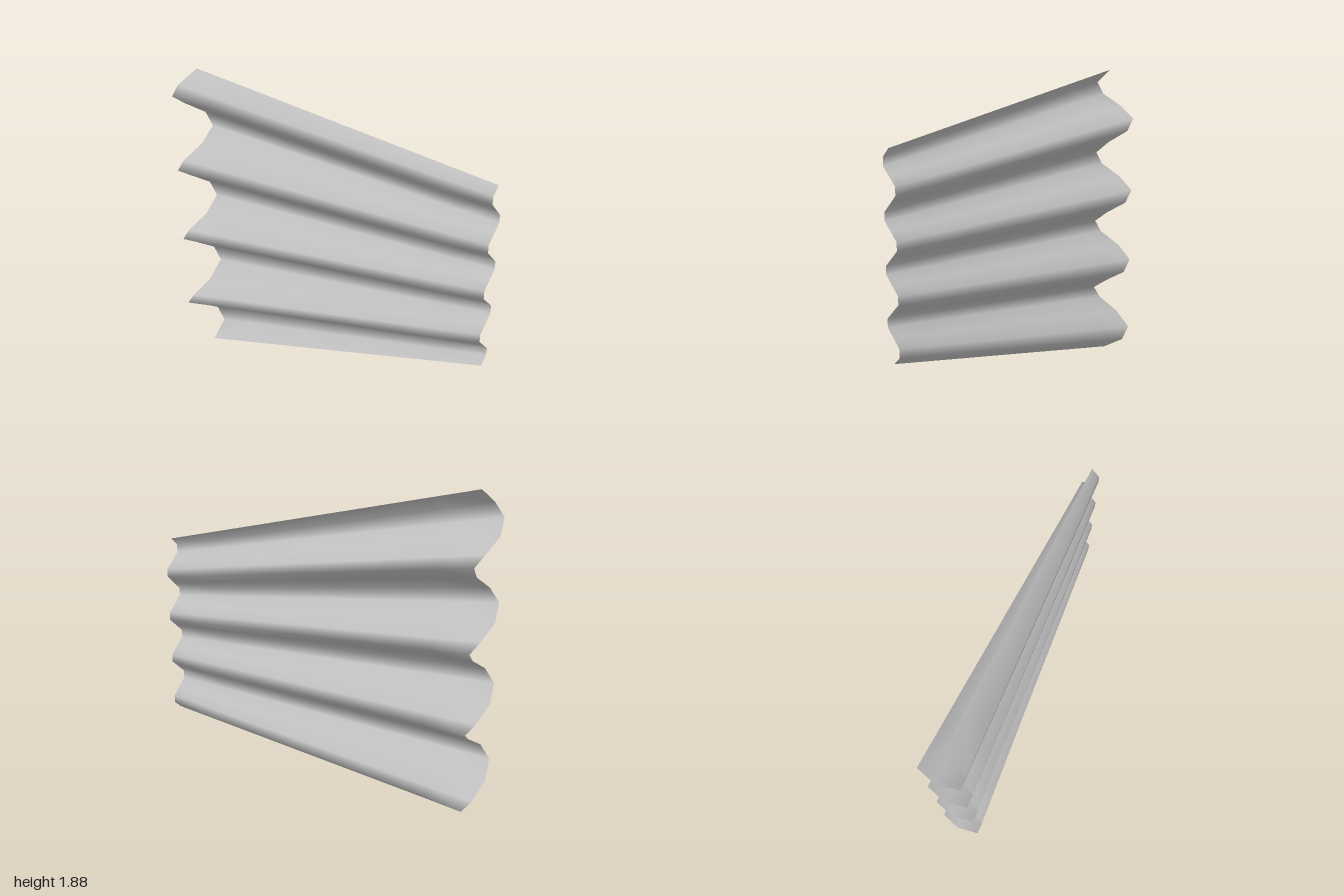
import * as THREE from 'three';

const FOLDS = 4, STEPS = 6, ROWS = 8;

// Narrow front edge: a small wave in x at z = 1
function frontEdge(u, phase) {
  return new THREE.Vector3(0.176 + 0.06 * Math.sin(phase), 0.39 + 1.108 * u, 1);
}

// Wide back edge: a bigger wave in x with a scalloped rim in z
function backEdge(u, phase) {
  return new THREE.Vector3(
    -0.095 + 0.156 * Math.sin(phase),
    1.885 * u,
    -0.942 + 0.058 * Math.cos(phase)
  );
}

// Straight-ruled sheet between the two wavy edges
function pleatedGeometry() {
  const n = FOLDS * STEPS, positions = [], indices = [];
  for (let i = 0; i <= n; i++) {
    const phase = (i / STEPS) * Math.PI * 2;
    const a = frontEdge(i / n, phase), b = backEdge(i / n, phase);
    for (let j = 0; j <= ROWS; j++) {
      positions.push(...a.clone().lerp(b, j / ROWS).toArray());
      if (i === n || j === ROWS) continue;
      const p = i * (ROWS + 1) + j, q = p + ROWS + 1;
      indices.push(p, p + 1, q, p + 1, q + 1, q);
    }
  }
  const geometry = new THREE.BufferGeometry();
  geometry.setAttribute('position', new THREE.Float32BufferAttribute(positions, 3));
  geometry.setIndex(indices);
  geometry.computeVertexNormals();
  return geometry;
}

export function createModel() {
  const group = new THREE.Group();
  group.name = 'pleatedFan';
  const grey = new THREE.MeshStandardMaterial({ color: 0xbdbdbd, side: THREE.DoubleSide });
  grey.name = 'light grey';
  const sheet = new THREE.Mesh(pleatedGeometry(), grey);
  sheet.name = 'corrugatedSheet';
  group.add(sheet);
  return group;
}
